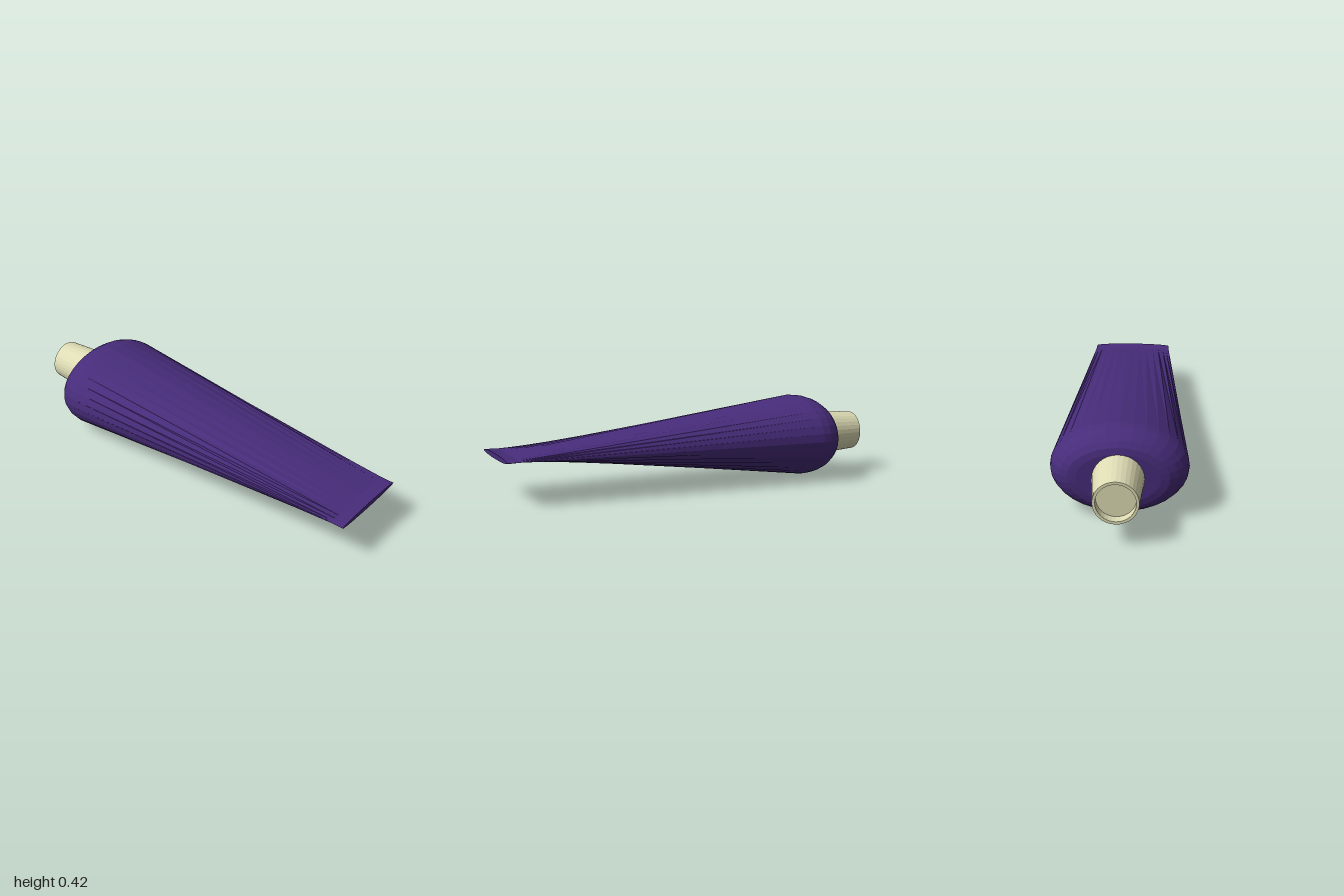
import * as THREE from 'three';

const SIDES = 32;
const CENTRE_Y = 0.211;

// Lofts elliptical rings [z, rx, ry] along z; a zero-radius ring closes an end
function loft(rings, color, name) {
  const pos = [];
  const index = [];
  rings.forEach(([z, rx, ry]) => {
    for (let j = 0; j < SIDES; j++) {
      const a = (j / SIDES) * Math.PI * 2;
      pos.push(rx * Math.cos(a), CENTRE_Y + ry * Math.sin(a), z);
    }
  });
  for (let i = 0; i < rings.length - 1; i++) {
    for (let j = 0; j < SIDES; j++) {
      const k = (j + 1) % SIDES;
      const a = i * SIDES + j, b = i * SIDES + k;
      const c = a + SIDES, d = b + SIDES;
      if (rings[i][1] > 0) index.push(a, b, c);
      if (rings[i + 1][1] > 0) index.push(b, d, c);
    }
  }
  const geometry = new THREE.BufferGeometry();
  geometry.setAttribute('position', new THREE.Float32BufferAttribute(pos, 3));
  geometry.setIndex(index);
  geometry.computeVertexNormals();
  const mesh = new THREE.Mesh(geometry, new THREE.MeshStandardMaterial({ color, flatShading: true }));
  mesh.name = name;
  return mesh;
}

export function createModel() {
  const group = new THREE.Group();
  group.name = 'squeezeTube';

  // Body: flat shoulder face, rounded shoulder, long taper, pinched seam and flat tail
  const rings = [[-0.775, 0, 0]];
  const steps = 5;
  for (let i = 0; i <= steps; i++) {
    const t = (i / steps) * Math.PI / 2;
    rings.push([-0.63 - 0.145 * Math.cos(t), 0.19 + 0.128 * Math.sin(t), 0.119 + 0.092 * Math.sin(t)]);
  }
  rings.push([0.935, 0.216, 0.004], [1, 0.215, 0.013], [1, 0, 0]);
  group.add(loft(rings, 0x472c7a, 'tubeBody'));

  // Nozzle: recessed floor, inner wall, rim and tapered outer wall
  group.add(loft([
    [-0.955, 0, 0],
    [-0.955, 0.088, 0.088],
    [-1, 0.088, 0.088],
    [-1, 0.101, 0.101],
    [-0.77, 0.118, 0.118],
  ], 0xdedcb4, 'nozzle'));

  return group;
}
